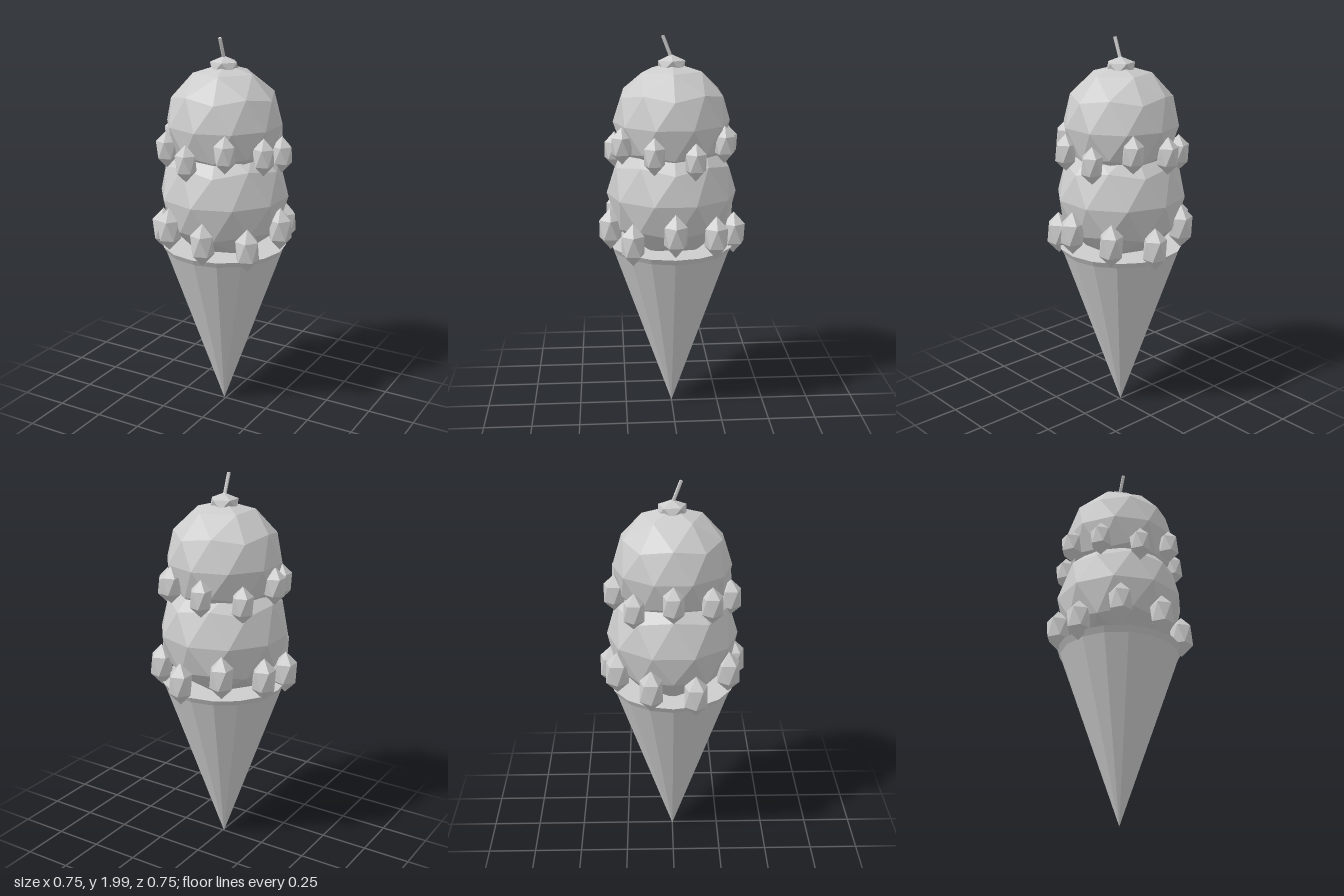
import * as THREE from 'three';

const CX = -0.008; // the vertical axis of the cone and scoops

// Faceted ball with a corner pointing straight up and one ring corner on +x
function facetedBall(rx, ry, detail) {
  const g = new THREE.IcosahedronGeometry(1, detail);
  g.rotateX(-Math.atan((1 + Math.sqrt(5)) / 2));
  g.rotateY(Math.PI / 2);
  g.scale(rx, ry, rx);
  g.computeVertexNormals();
  return g;
}

export function createModel() {
  const group = new THREE.Group();
  const grey = new THREE.MeshStandardMaterial({ color: 0xcccccc, flatShading: true });
  grey.name = 'plain grey';

  function add(name, geometry, x, y, z) {
    const mesh = new THREE.Mesh(geometry, grey);
    mesh.name = name;
    mesh.position.set(x, y, z);
    group.add(mesh);
    return mesh;
  }

  // Cone with a narrow rim and a flat top
  const profile = [[0, 0], [0.308, 0.89], [0.325, 0.92], [0, 0.92]];
  const cone = new THREE.LatheGeometry(profile.map(p => new THREE.Vector2(...p)), 16);
  add('cone', cone, CX, 0.01, 0);

  // Two scoops
  add('lowerScoop', facetedBall(0.335, 0.335, 1), CX, 1.2, 0);
  add('upperScoop', facetedBall(0.298, 0.298, 1), CX, 1.57, 0);

  // Rings of nine drips, stepping through three heights
  function dripRing(name, radius, startDegrees, heights, rx, ry) {
    const geometry = facetedBall(rx, ry, 0);
    for (let i = 0; i < 9; i++) {
      const a = THREE.MathUtils.degToRad(startDegrees + i * 40);
      add(name, geometry, CX + radius * Math.cos(a), heights[i % 3], radius * Math.sin(a));
    }
  }
  dripRing('lowerDrip', 0.324, 0, [1.055, 0.99, 1.022], 0.067, 0.111);
  dripRing('upperDrip', 0.295, 20, [1.445, 1.475, 1.415], 0.06, 0.095);

  // Cherry and its leaning stem
  add('cherry', facetedBall(0.08, 0.052, 0), CX, 1.853, 0);
  const from = new THREE.Vector3(CX, 1.87, -0.006);
  const to = new THREE.Vector3(CX, 1.997, 0.043);
  const dir = to.clone().sub(from);
  const stem = add('stem', new THREE.CylinderGeometry(0.009, 0.009, dir.length(), 6), 0, 0, 0);
  stem.position.copy(from).add(to).multiplyScalar(0.5);
  stem.quaternion.setFromUnitVectors(new THREE.Vector3(0, 1, 0), dir.normalize());

  return group;
}
